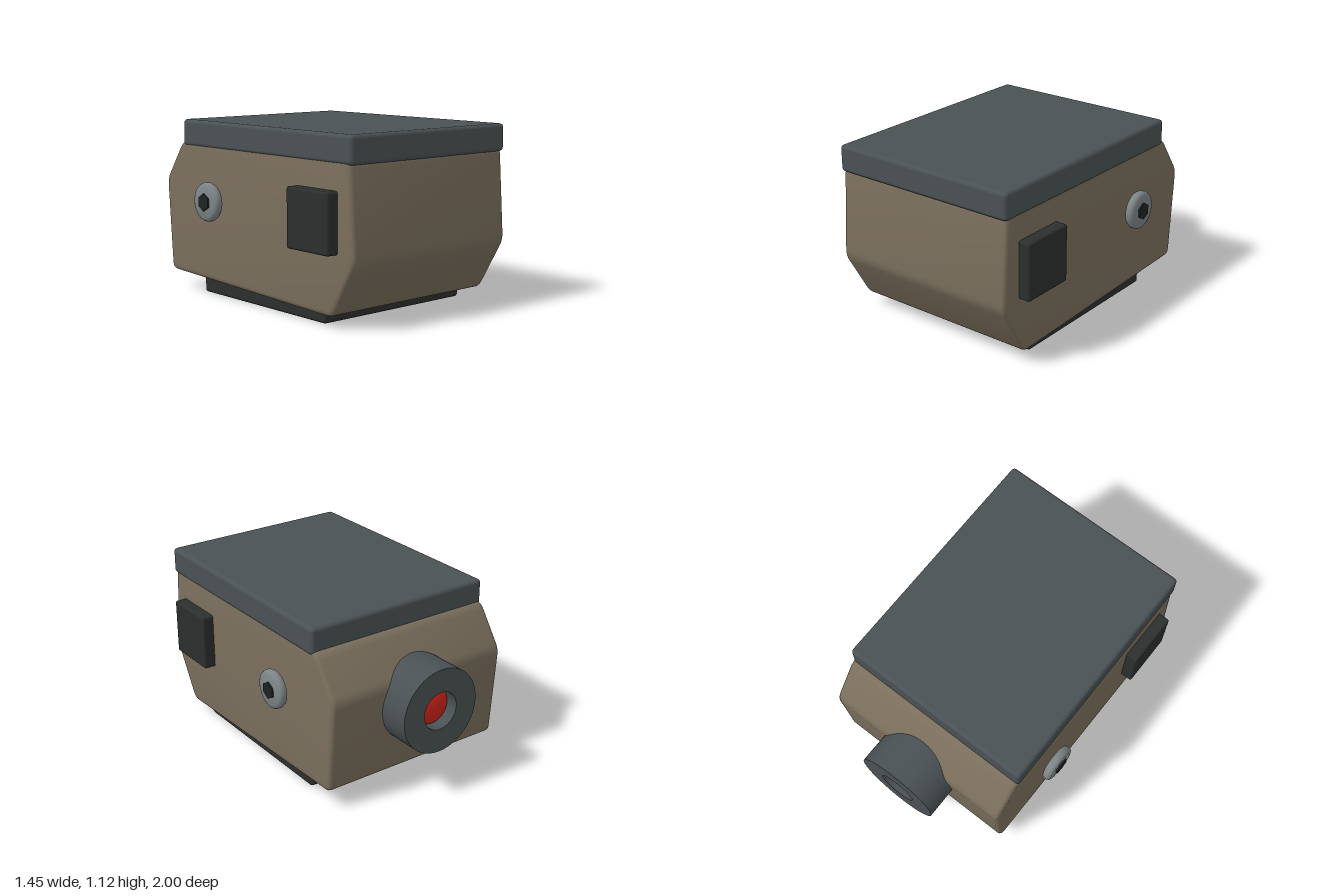
import * as THREE from 'three';
import { toCreasedNormals } from 'three/addons/utils/BufferGeometryUtils.js';
import { RoundedBoxGeometry } from 'three/addons/geometries/RoundedBoxGeometry.js';

const paint = (color) => new THREE.MeshStandardMaterial({ color });

// Closed polygon with softly rounded corners
function roundedPolygon(points, r) {
  const pts = points.map(([x, y]) => new THREE.Vector2(x, y));
  const shape = new THREE.Shape();
  pts.forEach((p, i) => {
    const prev = pts[(i + pts.length - 1) % pts.length];
    const next = pts[(i + 1) % pts.length];
    const a = prev.clone().sub(p).setLength(r).add(p);
    const b = next.clone().sub(p).setLength(r).add(p);
    if (i === 0) shape.moveTo(a.x, a.y);
    else shape.lineTo(a.x, a.y);
    shape.quadraticCurveTo(p.x, p.y, b.x, b.y);
  });
  shape.closePath();
  return shape;
}

export function createModel() {
  const model = new THREE.Group();
  model.name = 'housing';

  const bodyMat = paint(0x7a6e5c);
  const lidMat = paint(0x4a5154);
  const darkMat = paint(0x2b2f2e);
  const boltMat = paint(0x7d8588);
  const socketMat = paint(0x1f2324);
  const lensMat = paint(0xd0241a);

  function add(name, geometry, material, x = 0, y = 0, z = 0) {
    const mesh = new THREE.Mesh(geometry, material);
    mesh.name = name;
    mesh.position.set(x, y, z);
    model.add(mesh);
    return mesh;
  }

  // Box given by its limits, with rounded edges
  function block(name, material, [x0, x1], [y0, y1], [z0, z1], r) {
    const geometry = new RoundedBoxGeometry(x1 - x0, y1 - y0, z1 - z0, 3, r);
    return add(name, geometry, material, (x0 + x1) / 2, (y0 + y1) / 2, (z0 + z1) / 2);
  }

  // Body: side profile (z, y) extruded across x
  const bevel = 0.025;
  const profile = roundedPolygon([
    [0.81, 0.07], [1.0, 0.4], [0.96, 0.975], [-0.63, 0.975], [-0.81, 0.72], [-0.765, 0.12],
  ].reverse(), 0.045);
  const bodyGeo = new THREE.ExtrudeGeometry(profile, {
    depth: 1.26 - 2 * bevel, curveSegments: 4,
    bevelThickness: bevel, bevelSize: bevel, bevelOffset: -bevel, bevelSegments: 3,
  });
  bodyGeo.translate(0, 0, -(0.63 - bevel));
  bodyGeo.rotateY(-Math.PI / 2);
  add('body', toCreasedNormals(bodyGeo, 0.6), bodyMat);

  // Lid and base plate
  block('lid', lidMat, [-0.635, 0.635], [0.945, 1.115], [-0.61, 0.98], 0.025);
  block('basePlate', darkMat, [-0.565, 0.565], [0, 0.16], [-0.49, 0.685], 0.02);

  // Round-edged bolt head profile (radius, height)
  const boltProfile = [
    [0, 0], [0.1, 0], [0.115, 0.007], [0.122, 0.02], [0.122, 0.04],
    [0.115, 0.053], [0.1, 0.06], [0, 0.06],
  ].map(([x, y]) => new THREE.Vector2(x, y));
  const boltGeo = toCreasedNormals(new THREE.LatheGeometry(boltProfile, 40), 0.7);
  const socketGeo = new THREE.CylinderGeometry(0.055, 0.055, 0.02, 6);
  socketGeo.rotateY(Math.PI / 2);

  // Side pads and bolts on both sides
  for (const side of [1, -1]) {
    const label = side > 0 ? 'left' : 'right';
    const xs = side > 0 ? [0.58, 0.705] : [-0.705, -0.58];
    block(label + 'Pad', darkMat, xs, [0.437, 0.797], [0.505, 0.863], 0.015);
    const bolt = add(label + 'Bolt', boltGeo, boltMat, side * 0.655, 0.62, -0.275);
    bolt.rotation.z = -side * Math.PI / 2;
    const socket = add(label + 'BoltSocket', socketGeo, socketMat, side * 0.715, 0.62, -0.275);
    socket.rotation.z = -side * Math.PI / 2;
  }

  // Rear barrel with a recessed opening; lathe axis turned to point backwards
  const barrelProfile = [
    [0, 0], [0.27, 0], [0.27, 0.4], [0.12, 0.4], [0.12, 0.3], [0, 0.3],
  ].map(([x, y]) => new THREE.Vector2(x, y));
  const barrelGeo = toCreasedNormals(new THREE.LatheGeometry(barrelProfile, 48), 0.6);
  barrelGeo.rotateX(-Math.PI / 2);
  add('barrel', barrelGeo, lidMat, 0, 0.57, -0.6);

  // Lens: shallow dome inside the barrel
  const lensGeo = new THREE.SphereGeometry(0.12, 32, 12, 0, Math.PI * 2, 0, Math.PI / 2);
  lensGeo.scale(1, 0.4, 1);
  lensGeo.rotateX(-Math.PI / 2);
  add('lens', lensGeo, lensMat, 0, 0.57, -0.91);

  return model;
}
